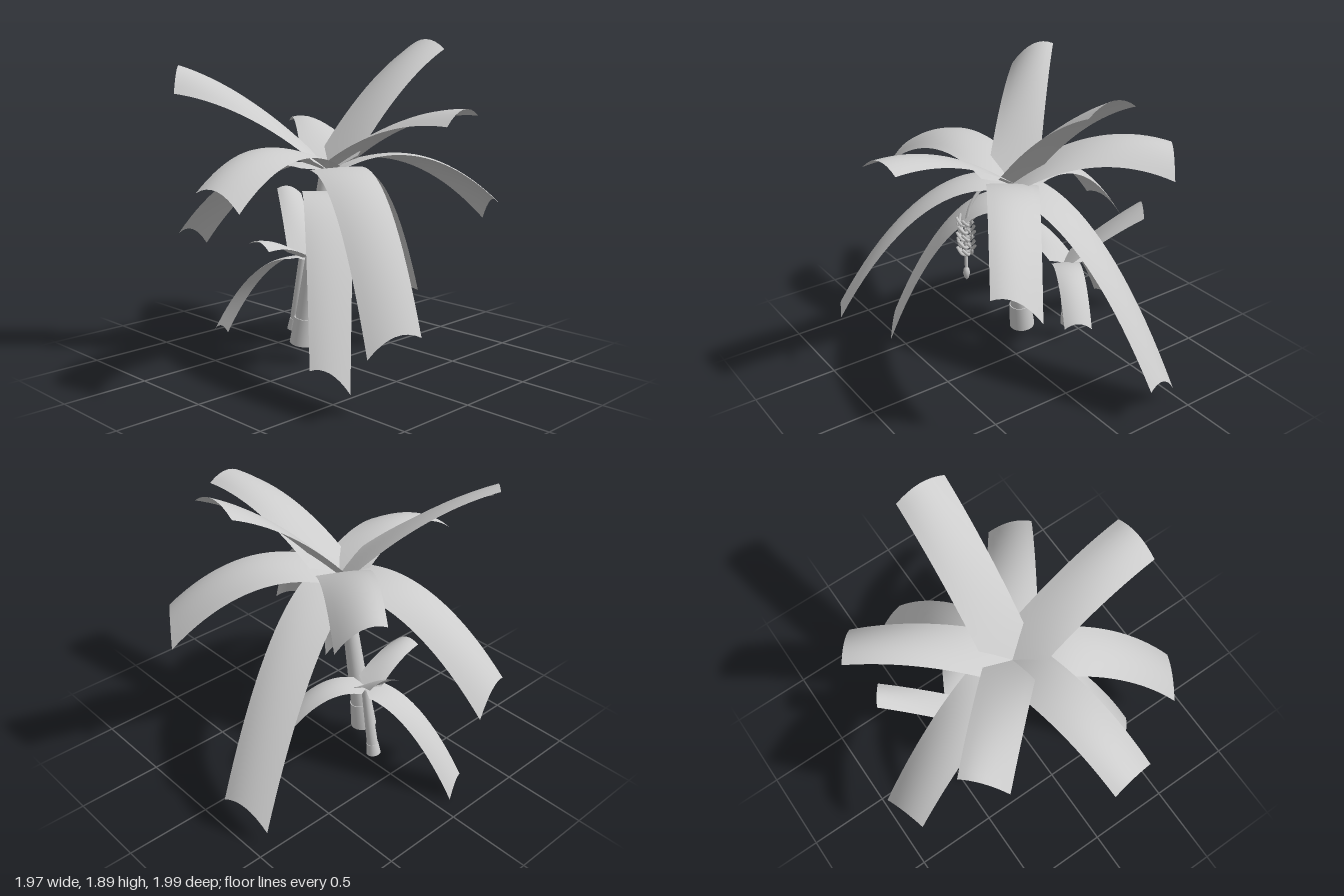
import * as THREE from 'three';

const V = (x, y, z) => new THREE.Vector3(x, y, z);

export function createModel() {
  const model = new THREE.Group();
  model.name = 'bananaPlant';
  const grey = new THREE.MeshStandardMaterial({ color: 0xcccccc, side: THREE.DoubleSide });
  grey.name = 'plain grey';

  const add = (parent, name, geometry) => {
    const mesh = new THREE.Mesh(geometry, grey);
    mesh.name = name;
    parent.add(mesh);
    return mesh;
  };

  // Tapered cylinder between two points
  const rod = (parent, name, a, b, ra, rb, sides = 24) => {
    const dir = b.clone().sub(a);
    const mesh = add(parent, name, new THREE.CylinderGeometry(rb, ra, dir.length(), sides));
    mesh.position.copy(a).add(b).multiplyScalar(0.5);
    mesh.quaternion.setFromUnitVectors(V(0, 1, 0), dir.normalize());
    return mesh;
  };

  // Strip from base to end: height follows a parabola, the cross-section arches
  // and rolls more towards the tip, and the width goes from width to tipWidth
  const leaf = (parent, name, base, end, midY, roll, width, tipWidth, droop, taper = 0.1) => {
    const rows = 20, cols = 8, pos = [], index = [];
    const dx = end.x - base.x, dz = end.z - base.z, len = Math.hypot(dx, dz);
    const sx = -dz / len, sz = dx / len;
    const m = midY - base.y, e = end.y - base.y;
    const b = 4 * m - e, c = 2 * e - 4 * m;
    for (let i = 0; i <= rows; i++) {
      const t = i / rows;
      const w = taper ? Math.min(1, 0.06 + t / taper) : 1;
      const half = THREE.MathUtils.lerp(width, tipWidth, t) / 2;
      for (let j = 0; j <= cols; j++) {
        const s = (j / cols * 2 - 1) * w;
        pos.push(
          base.x + dx * t + sx * half * s,
          base.y + b * t + c * t * t - droop * s * s * t + roll * s * t,
          base.z + dz * t + sz * half * s);
        if (i < rows && j < cols) {
          const k = i * (cols + 1) + j, n = k + cols + 1;
          index.push(k, k + 1, n, k + 1, n + 1, n);
        }
      }
    }
    const g = new THREE.BufferGeometry();
    g.setAttribute('position', new THREE.Float32BufferAttribute(pos, 3));
    g.setIndex(index);
    g.computeVertexNormals();
    add(parent, name, g);
  };

  // Large plant: trunk with a flared foot
  const large = new THREE.Group();
  large.name = 'largePlant';
  model.add(large);
  rod(large, 'trunkFoot', V(-0.137, 0.115, 0.125), V(-0.117, 0.275, 0.118), 0.078, 0.067);
  rod(large, 'trunk', V(-0.12, 0.25, 0.119), V(-0.005, 1.15, 0.062), 0.062, 0.034);

  // Large leaves: end x, y, z, height at mid length, tip roll, tip width
  const crown = V(0, 1.15, 0.04);
  [
    [0, 1.895, -0.80, 1.60, 0, 0.3],
    [0.89, 1.545, -0.05, 1.44, -0.02, 0.297],
    [0.92, 0.465, 0.49, 1.09, -0.043, 0.285],
    [0.547, 0.95, -0.77, 1.235, 0.07, 0.265],
    [0.152, 1.15, 0.967, 1.32, 0.04, 0.29],
    [-0.598, 1.73, 0.653, 1.52, 0.07, 0.258],
    [-0.95, 0.715, 0.312, 1.13, -0.055, 0.286],
    [-0.738, 1.355, -0.50, 1.38, -0.07, 0.263],
    [-0.328, 0.215, -0.955, 0.95, 0.063, 0.27],
  ].forEach(([x, y, z, mid, roll, tip], i) =>
    leaf(large, 'largeLeaf' + (i + 1), crown, V(x, y, z), mid, roll, 0.3, tip, 0.06));
  leaf(large, 'lowestLeaf', V(0.025, 1.04, 0.07), V(0.54, 0.2, 0.56), 0.85, 0.065, 0.3, 0.21, 0.05, 0);

  // Small plant
  const small = new THREE.Group();
  small.name = 'smallPlant';
  model.add(small);
  rod(small, 'smallTrunkFoot', V(-0.38, 0.115, -0.028), V(-0.372, 0.185, -0.032), 0.043, 0.035);
  rod(small, 'smallTrunk', V(-0.373, 0.17, -0.031), V(-0.325, 0.57, -0.052), 0.033, 0.024);
  const smallCrown = V(-0.325, 0.575, -0.05);
  [
    [-0.715, 0.95, -0.298, 0.78, -0.02],
    [-0.86, 0.075, 0.167, 0.47, -0.035],
    [-0.10, 0.43, -0.475, 0.61, 0.005],
    [-0.285, 0.735, 0.33, 0.69, 0.015],
  ].forEach(([x, y, z, mid, roll], i) =>
    leaf(small, 'smallLeaf' + (i + 1), smallCrown, V(x, y, z), mid, roll, 0.17, 0.16, 0.035));

  // Hanging fruit stalk
  const fruit = new THREE.Group();
  fruit.name = 'fruitBunch';
  model.add(fruit);
  const stalk = new THREE.CatmullRomCurve3([
    V(0, 1.13, 0.06), V(0.07, 1.145, 0.1), V(0.14, 1.125, 0.135), V(0.205, 1.05, 0.15),
    V(0.24, 0.95, 0.155), V(0.25, 0.8, 0.155), V(0.25, 0.63, 0.155),
  ]);
  add(fruit, 'stalk', new THREE.TubeGeometry(stalk, 40, 0.01, 8));
  const bud = add(fruit, 'bud', new THREE.LatheGeometry(
    [[0.001, 0], [0.013, 0.015], [0.021, 0.045], [0.017, 0.07], [0.009, 0.085], [0.001, 0.09]]
      .map(p => new THREE.Vector2(...p)), 16));
  bud.position.set(0.25, 0.552, 0.155);

  // Rings of slanting, upturned bananas
  const finger = new THREE.TubeGeometry(new THREE.CatmullRomCurve3([
    V(0.008, -0.02, -0.015), V(0.032, -0.012, -0.008), V(0.042, 0.008, 0.008), V(0.046, 0.03, 0.026),
  ]), 8, 0.009, 6);
  for (let ring = 0; ring < 5; ring++) {
    for (let k = 0; k < 6; k++) {
      const banana = add(fruit, 'banana', finger);
      banana.position.set(0.248, 0.745 + ring * 0.048, 0.155);
      banana.rotation.y = (k + ring * 0.5) / 6 * Math.PI * 2;
    }
  }
  return model;
}
